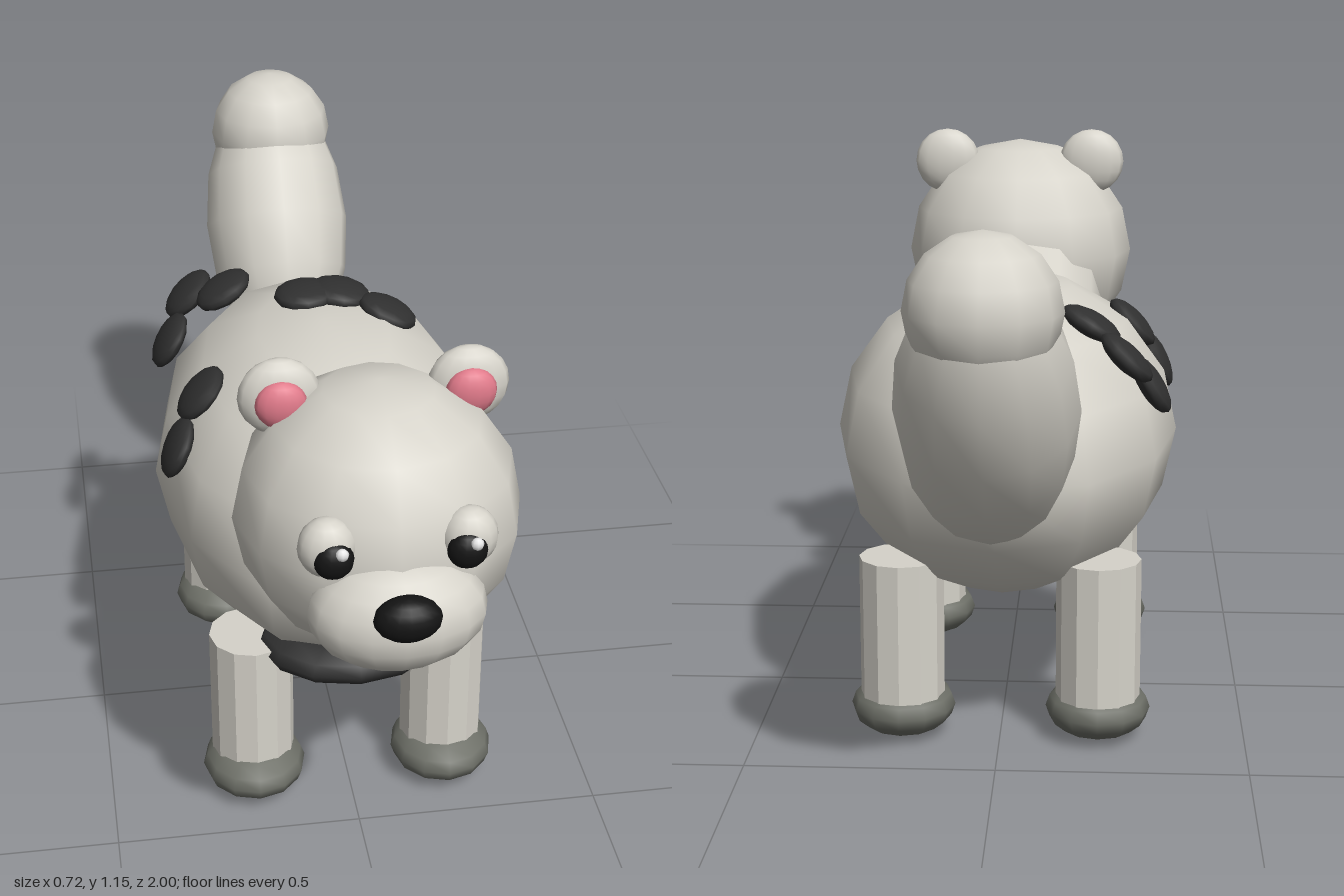
import * as THREE from 'three';

export function createModel() {
  const model = new THREE.Group();
  model.name = 'spottedAnimal';

  const paint = (name, color) => {
    const m = new THREE.MeshStandardMaterial({ color });
    m.name = name;
    return m;
  };
  const fur = paint('fur', 0xd6d3ca);
  const paw = paint('paw', 0x6e7068);
  const dark = paint('spot', 0x303030);
  const black = paint('black', 0x141414);
  const pink = paint('pink', 0xe07a8a);
  const white = paint('white', 0xffffff);
  // faceted copy of the fur for the legs
  const legFur = paint('legFur', 0xd6d3ca);
  legFur.flatShading = true;

  const add = (name, geometry, material, position) => {
    const mesh = new THREE.Mesh(geometry, material);
    mesh.name = name;
    mesh.position.set(...position);
    model.add(mesh);
    return mesh;
  };
  const ball = (name, material, position, radii, ws = 12, hs = 8) => {
    const mesh = add(name, new THREE.SphereGeometry(1, ws, hs), material, position);
    mesh.scale.set(...radii);
    return mesh;
  };

  // Torso, chest patch and neck
  ball('body', fur, [0, 0.58, 0], [0.36, 0.33, 0.56]);
  ball('chestPatch', dark, [0, 0.37, 0.36], [0.19, 0.055, 0.15]);
  const neck = add('neck', new THREE.CylinderGeometry(0.2, 0.2, 0.26, 12), fur, [0, 0.72, 0.47]);
  neck.rotation.x = 0.98;

  // Head, muzzle and nose
  ball('head', fur, [0, 0.865, 0.65], [0.264, 0.262, 0.26]);
  ball('muzzle', fur, [0, 0.79, 0.865], [0.16, 0.11, 0.108], 16, 10);
  ball('nose', black, [0, 0.835, 0.962], [0.06, 0.042, 0.038], 16, 10);

  // Ears and eyes
  for (const s of [1, -1]) {
    ball('ear', fur, [s * 0.17, 1.08, 0.602], [0.075, 0.075, 0.036], 14, 10);
    ball('innerEar', pink, [s * 0.17, 1.078, 0.63], [0.047, 0.046, 0.026], 14, 10);
    ball('eye', fur, [s * 0.123, 0.925, 0.858], [0.052, 0.057, 0.042], 14, 10);
    ball('pupil', black, [s * 0.116, 0.915, 0.886], [0.036, 0.036, 0.027], 14, 10);
    ball('eyeGlint', white, [s * 0.116 + 0.012, 0.936, 0.905], [0.012, 0.012, 0.01], 8, 6);
  }

  // Legs and paws
  for (const x of [0.2, -0.2]) {
    for (const z of [0.33, -0.305]) {
      add('leg', new THREE.CylinderGeometry(0.086, 0.086, 0.31, 12), legFur, [x, 0.225, z]);
      ball('paw', paw, [x, 0.06, z + 0.013], [0.107, 0.06, 0.115]);
    }
  }

  // Tail with a round tip
  const tail = ball('tail', fur, [0, 0.79, -0.757], [0.168, 0.32, 0.168]);
  tail.rotation.x = -0.59;
  ball('tailTip', fur, [0, 0.985, -0.86], [0.14, 0.14, 0.14]);

  // Flattened spots leaning outward with the curve of the back
  const spots = [
    [0.13, 0.877, 0.335], [0.15, 0.875, -0.09], [0.055, 0.9, -0.145],
    [-0.02, 0.902, -0.14], [-0.18, 0.856, -0.28], [-0.25, 0.807, -0.37],
    [-0.3, 0.737, -0.29], [-0.265, 0.796, 0.065], [-0.32, 0.705, 0.12],
  ];
  for (const p of spots) {
    const spot = ball('spot', dark, p, [0.066, 0.024, 0.066]);
    spot.rotation.z = -Math.atan2(p[0] / 0.36 ** 2, (p[1] - 0.58) / 0.33 ** 2);
  }

  return model;
}
